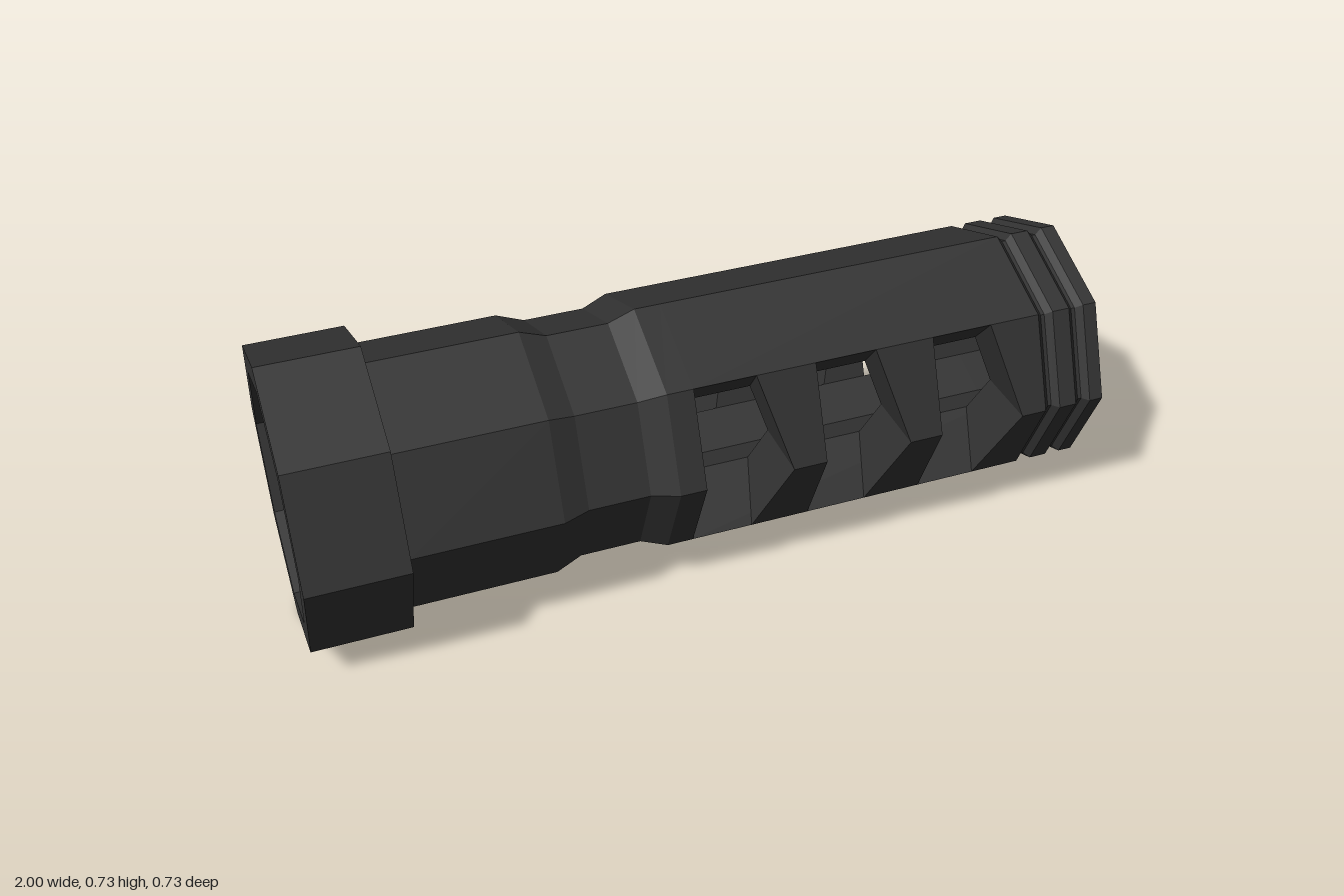
import * as THREE from 'three';

const AXIS_Y = 0.366;   // height of the tube axis
const R = 0.32;         // body radius (to the corners)
const BORE = 0.154;     // bore radius
const SOCKET = 0.3;     // rear socket radius
const CORNER = R * Math.SQRT1_2;

const material = new THREE.MeshStandardMaterial({ color: 0x333333, flatShading: true });

// Eight-sided ring along x from a closed [x, radius] profile
function octagonRing(name, profile) {
  const points = profile.map(([x, r]) => new THREE.Vector2(r, x));
  const geometry = new THREE.LatheGeometry([...points, points[0].clone()], 8);
  geometry.rotateZ(-Math.PI / 2);
  const mesh = new THREE.Mesh(geometry, material);
  mesh.name = name;
  return mesh;
}

// One eighth of the tube wall between x0 and x1; rear end may be swept to a chevron
function wallOctant(name, octant, x0, x1, sweep = 0) {
  const corner = (k, r) => {
    const a = k * Math.PI / 4;
    return new THREE.Vector2(Math.sin(a) * r, Math.cos(a) * r);
  };
  const shape = new THREE.Shape([
    corner(octant, BORE), corner(octant, R), corner(octant + 1, R), corner(octant + 1, BORE),
  ]);
  const geometry = new THREE.ExtrudeGeometry(shape, { depth: x1 - x0, bevelEnabled: false });
  geometry.rotateY(Math.PI / 2).translate(x0, 0, 0);
  const p = geometry.attributes.position;
  for (let i = 0; i < p.count; i++) {
    if (p.getX(i) < x0 + 1e-4) p.setX(i, x0 + sweep * (1 - Math.abs(p.getY(i)) / CORNER));
  }
  geometry.computeVertexNormals();
  const mesh = new THREE.Mesh(geometry, material);
  mesh.name = name;
  return mesh;
}

export function createModel() {
  const model = new THREE.Group();
  model.name = 'muzzleBrake';
  const tube = new THREE.Group();
  tube.name = 'tube';
  tube.position.y = AXIS_Y;
  model.add(tube);

  // Wide rear collar
  tube.add(octagonRing('collar', [[-1, SOCKET], [-1, 0.366], [-0.76, 0.366], [-0.76, SOCKET]]));

  // Rear body with a waist; the socket narrows to the bore
  tube.add(octagonRing('body', [
    [-0.76, SOCKET], [-0.76, R], [-0.4, R], [-0.335, 0.295], [-0.185, 0.295], [-0.12, R],
    [-0.055, R], [-0.055, BORE], [-0.42, BORE], [-0.42, SOCKET],
  ]));

  // Front end with two grooves
  tube.add(octagonRing('muzzle', [
    [0.84, BORE], [0.84, R], [0.855, 0.303], [0.865, 0.303], [0.88, R],
    [0.925, R], [0.94, 0.303], [0.95, 0.303], [0.965, R], [1, R], [1, BORE],
  ]));

  // Top and bottom rails
  for (const octant of [7, 0, 3, 4]) tube.add(wallOctant('rail', octant, -0.055, 0.84));

  // Chevron baffles between the side ports
  const baffles = [[0.1, 0.25], [0.405, 0.555], [0.71, 0.84]];
  for (const [x0, x1] of baffles) {
    for (const octant of [1, 2, 5, 6]) tube.add(wallOctant('baffle', octant, x0, x1, 0.065));
  }
  return model;
}
